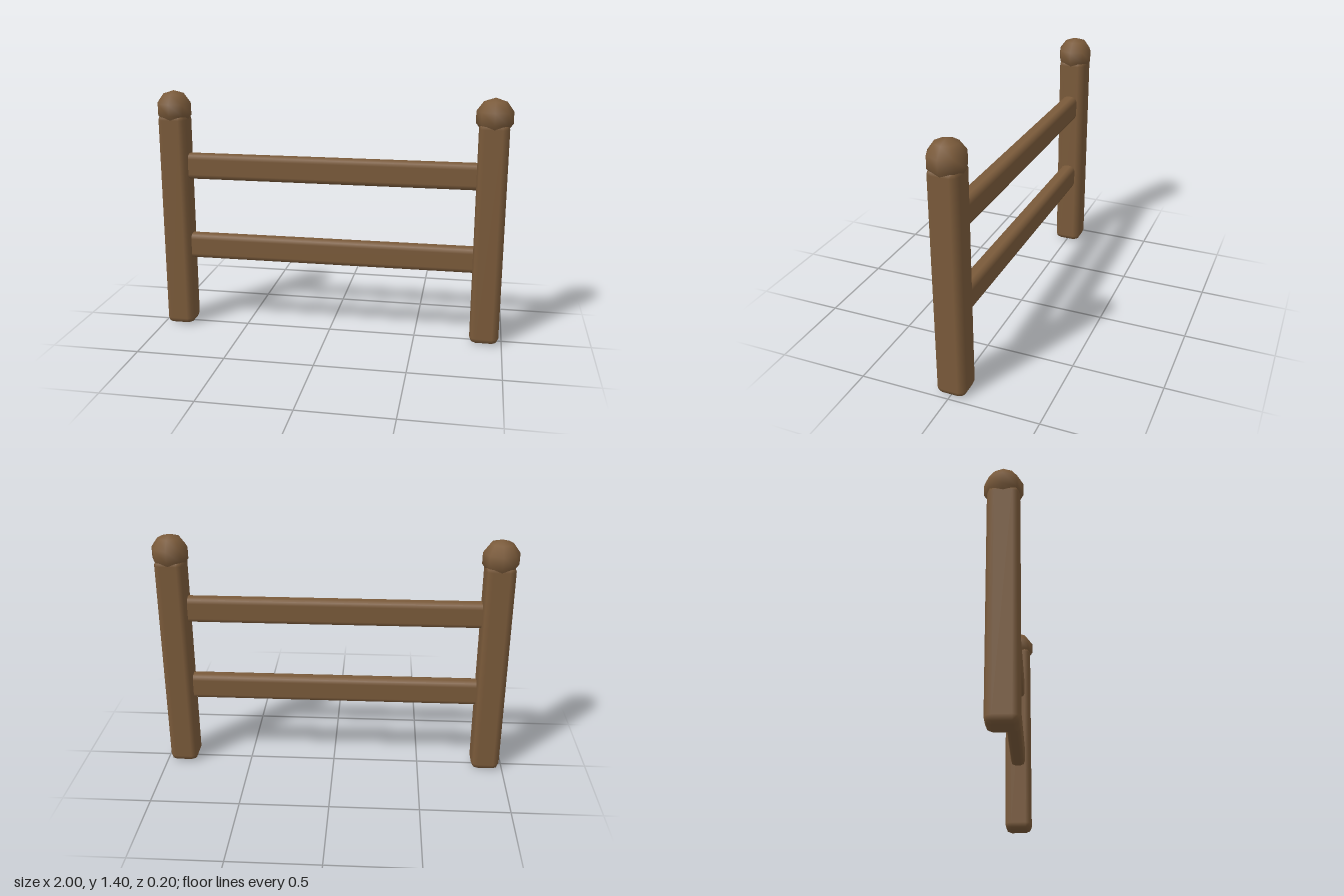
import * as THREE from 'three';
import { RoundedBoxGeometry } from 'three/addons/geometries/RoundedBoxGeometry.js';

export function createModel() {
  const group = new THREE.Group();
  group.name = 'fence';
  const wood = new THREE.MeshStandardMaterial({ color: 0x7a5a3a });
  wood.name = 'brown wood';

  const add = (name, geometry, x, y) => {
    const mesh = new THREE.Mesh(geometry, wood);
    mesh.name = name;
    mesh.position.set(x, y, 0);
    group.add(mesh);
  };

  // Square posts with softened edges, each topped by a faceted ball
  const postHeight = 1.27;
  const post = new RoundedBoxGeometry(0.164, postHeight, 0.164, 1, 0.037);
  const ball = new THREE.SphereGeometry(0.105, 8, 5);
  for (const [side, x] of [['left', 0.9], ['right', -0.9]]) {
    add(side + 'Post', post, x, postHeight / 2);
    add(side + 'PostBall', ball, x, 1.291);
  }

  // Two horizontal rails running into the posts
  const rail = new RoundedBoxGeometry(1.76, 0.148, 0.09, 1, 0.03);
  add('lowerRail', rail, 0, 0.484);
  add('upperRail', rail, 0, 0.962);

  return group;
}
